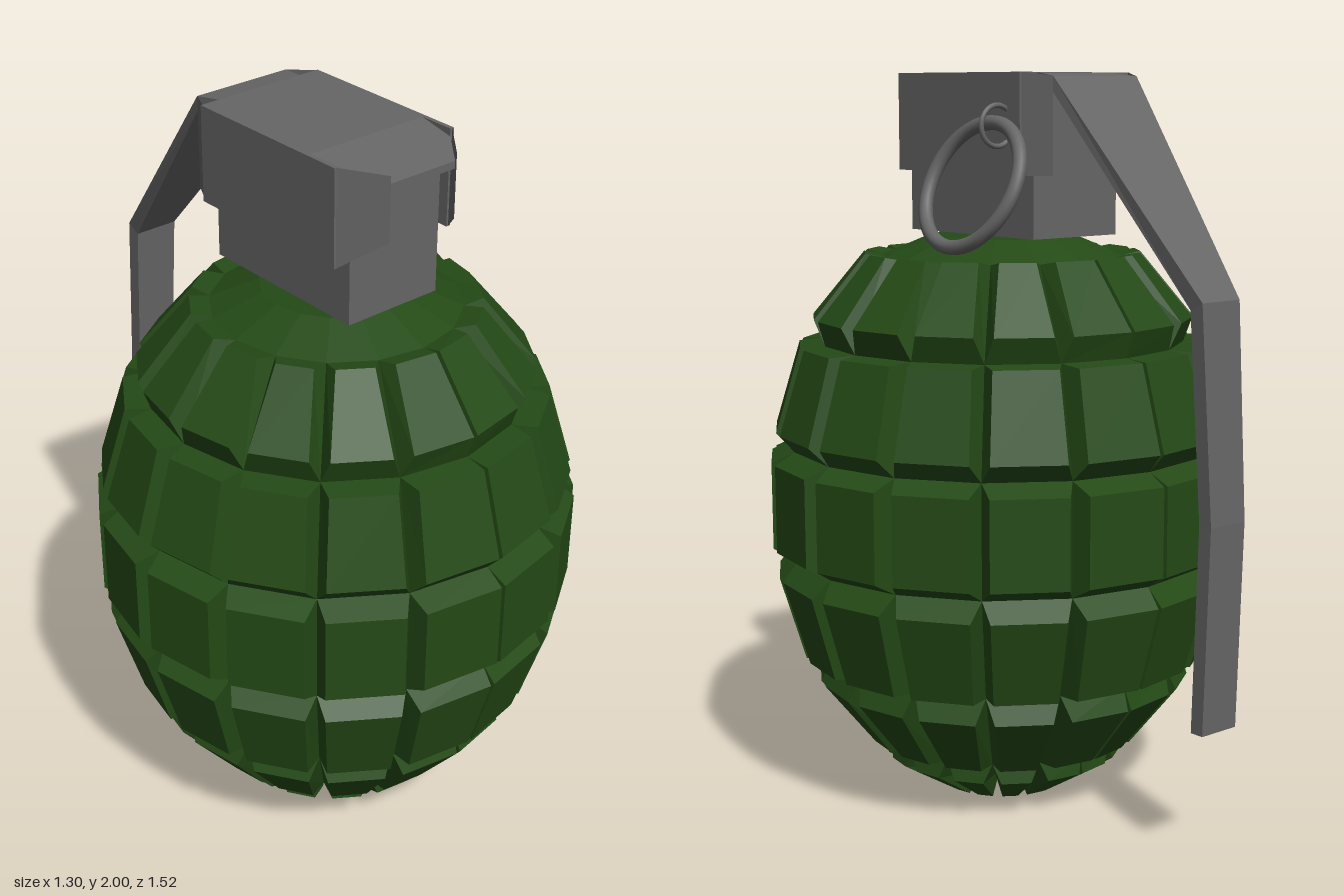
import * as THREE from 'three';

const GREEN = new THREE.MeshStandardMaterial({ color: 0x244a16, flatShading: true });
const METAL = new THREE.MeshStandardMaterial({ color: 0x666666, flatShading: true, side: THREE.DoubleSide });
const WIRE = new THREE.MeshStandardMaterial({ color: 0x666666 });
const BODY_Z = 0.11;
const SIDES = 16;

// Solid through rings of four corners, each counter-clockwise seen from the last ring's end
function loft(rings) {
  const pos = [];
  const quad = (a, b, c, d) => [a, b, c, a, c, d].forEach(p => pos.push(...p));
  for (let k = 0; k + 1 < rings.length; k++) {
    const a = rings[k], b = rings[k + 1];
    for (let i = 0; i < 4; i++) {
      const j = (i + 1) % 4;
      quad(a[i], a[j], b[j], b[i]);
    }
  }
  const f = rings[0], l = rings[rings.length - 1];
  quad(f[3], f[2], f[1], f[0]);
  quad(l[0], l[1], l[2], l[3]);
  const g = new THREE.BufferGeometry();
  g.setAttribute('position', new THREE.Float32BufferAttribute(pos, 3));
  g.computeVertexNormals();
  return g;
}

function add(parent, name, geometry, material, x = 0, y = 0, z = 0) {
  const mesh = new THREE.Mesh(geometry, material);
  mesh.name = name;
  mesh.position.set(x, y, z);
  parent.add(mesh);
  return mesh;
}

function box(parent, name, x0, x1, y0, y1, z0, z1) {
  return add(parent, name, new THREE.BoxGeometry(x1 - x0, y1 - y0, z1 - z0), METAL,
    (x0 + x1) / 2, (y0 + y1) / 2, (z0 + z1) / 2);
}

// Block rows as [radius, y]: base top, face top, face bottom, base bottom
const ROWS = [
  [[0.33, 1.51], [0.38, 1.52], [0.525, 1.345], [0.5, 1.275]],
  [[0.5, 1.275], [0.565, 1.27], [0.635, 1.04], [0.59, 0.99]],
  [[0.59, 0.99], [0.65, 0.96], [0.65, 0.72], [0.59, 0.685]],
  [[0.59, 0.685], [0.635, 0.635], [0.565, 0.4], [0.5, 0.398]],
  [[0.5, 0.398], [0.525, 0.33], [0.385, 0.155], [0.33, 0.155]],
  [[0.33, 0.155], [0.335, 0.1], [0.18, 0.005], [0.12, 0.06]],
];

function makeBody() {
  const body = new THREE.Group();
  body.name = 'body';
  body.position.z = BODY_Z;

  // Core, seen as the top cap and the hollow underneath
  const core = [[0, 0.09], [0.07, 0.08], [0.12, 0.06], [0.32, 0.16], [0.49, 0.4], [0.58, 0.69],
    [0.58, 0.99], [0.49, 1.275], [0.33, 1.51], [0.2, 1.565], [0, 1.565]];
  add(body, 'core', new THREE.LatheGeometry(core.map(p => new THREE.Vector2(...p)), SIDES), GREEN);

  // Bevelled blocks divided by V grooves
  const step = Math.PI * 2 / SIDES;
  const at = ([r, y], angle) => [r * Math.sin(angle), y, r * Math.cos(angle)];
  ROWS.forEach(([baseTop, faceTop, faceBottom, baseBottom], row) => {
    for (let i = 0; i < SIDES; i++) {
      const a0 = i * step, a1 = a0 + step;
      // The front and back seams are tighter than the others
      const gap = (p, seam) => (seam % 8 === 0 ? 0.006 : 0.026) * Math.min(1, p[0] / 0.35) / p[0];
      const geometry = loft([
        [at(baseBottom, a0), at(baseBottom, a1), at(baseTop, a1), at(baseTop, a0)],
        [at(faceBottom, a0 + gap(faceBottom, i)), at(faceBottom, a1 - gap(faceBottom, i + 1)),
          at(faceTop, a1 - gap(faceTop, i + 1)), at(faceTop, a0 + gap(faceTop, i))],
      ]);
      add(body, `block${row + 1}_${i + 1}`, geometry, GREEN);
    }
  });
  return body;
}

// Flat sheet through corners given in order
function sheet(corners) {
  const pos = [];
  for (let i = 1; i + 1 < corners.length; i++) pos.push(...corners[0], ...corners[i], ...corners[i + 1]);
  const g = new THREE.BufferGeometry();
  g.setAttribute('position', new THREE.Float32BufferAttribute(pos, 3));
  g.computeVertexNormals();
  return g;
}

function makeHead() {
  const head = new THREE.Group();
  head.name = 'head';
  add(head, 'neck', new THREE.CylinderGeometry(0.08, 0.08, 0.06, 16), METAL, 0, 1.56, BODY_Z);
  box(head, 'fuseBody', -0.145, 0.145, 1.575, 1.965, -0.19, 0.325);
  box(head, 'coverPlate', -0.185, 0.185, 1.97, 2, -0.19, 0.22);

  // Cover slopes down to a tapered front lip
  const lip = [[0.22, 0.185, 2], [0.32, 0.18, 1.98], [0.41, 0.11, 1.965]].map(([z, w, y]) =>
    [[-w, y - 0.02, z], [w, y - 0.02, z], [w, y, z], [-w, y, z]]);
  add(head, 'coverLip', loft(lip), METAL);

  // Side flanges fold inward at the front and rear
  for (const s of [-1, 1]) {
    const x = 0.185 * s;
    const side = s < 0 ? 'right' : 'left';
    box(head, side + 'Flange', x - 0.006, x + 0.006, 1.74, 2, -0.19, 0.32);
    add(head, side + 'FrontFold', sheet([[x, 1.74, 0.32], [0.105 * s, 1.82, 0.42],
      [0.105 * s, 1.99, 0.42], [x, 2, 0.32]]), METAL);
    add(head, side + 'RearFold', sheet([[x, 1.74, -0.19], [0.145 * s, 1.74, -0.265],
      [0.145 * s, 1.99, -0.265], [x, 2, -0.19]]), METAL);
  }
  return head;
}

// Bent lever: half width, outer z and y, inner z and y
function makeLever() {
  const sections = [
    [0.13, -0.18, 2, -0.18, 1.97],
    [0.145, -0.265, 1.99, -0.265, 1.95],
    [0.065, -0.72, 1.45, -0.68, 1.43],
    [0.06, -0.757, 0.9, -0.717, 0.9],
    [0.06, -0.74, 0.36, -0.7, 0.36],
  ];
  return loft(sections.map(([w, zo, yo, zi, yi]) =>
    [[w, yi, zi], [-w, yi, zi], [-w, yo, zo], [w, yo, zo]]));
}

export function createModel() {
  const model = new THREE.Group();
  model.name = 'grenade';
  model.add(makeBody(), makeHead());
  add(model, 'lever', makeLever(), METAL);

  // Pin loop with the pull ring hanging from it
  add(model, 'pinLoop', new THREE.TorusGeometry(0.052, 0.007, 8, 28), WIRE, 0.22, 1.865, -0.135);
  const ring = add(model, 'pullRing', new THREE.TorusGeometry(0.17, 0.019, 12, 48), WIRE, 0.296, 1.718, -0.125);
  ring.rotation.set(0, Math.PI / 2, 0.42, 'ZYX');
  return model;
}
